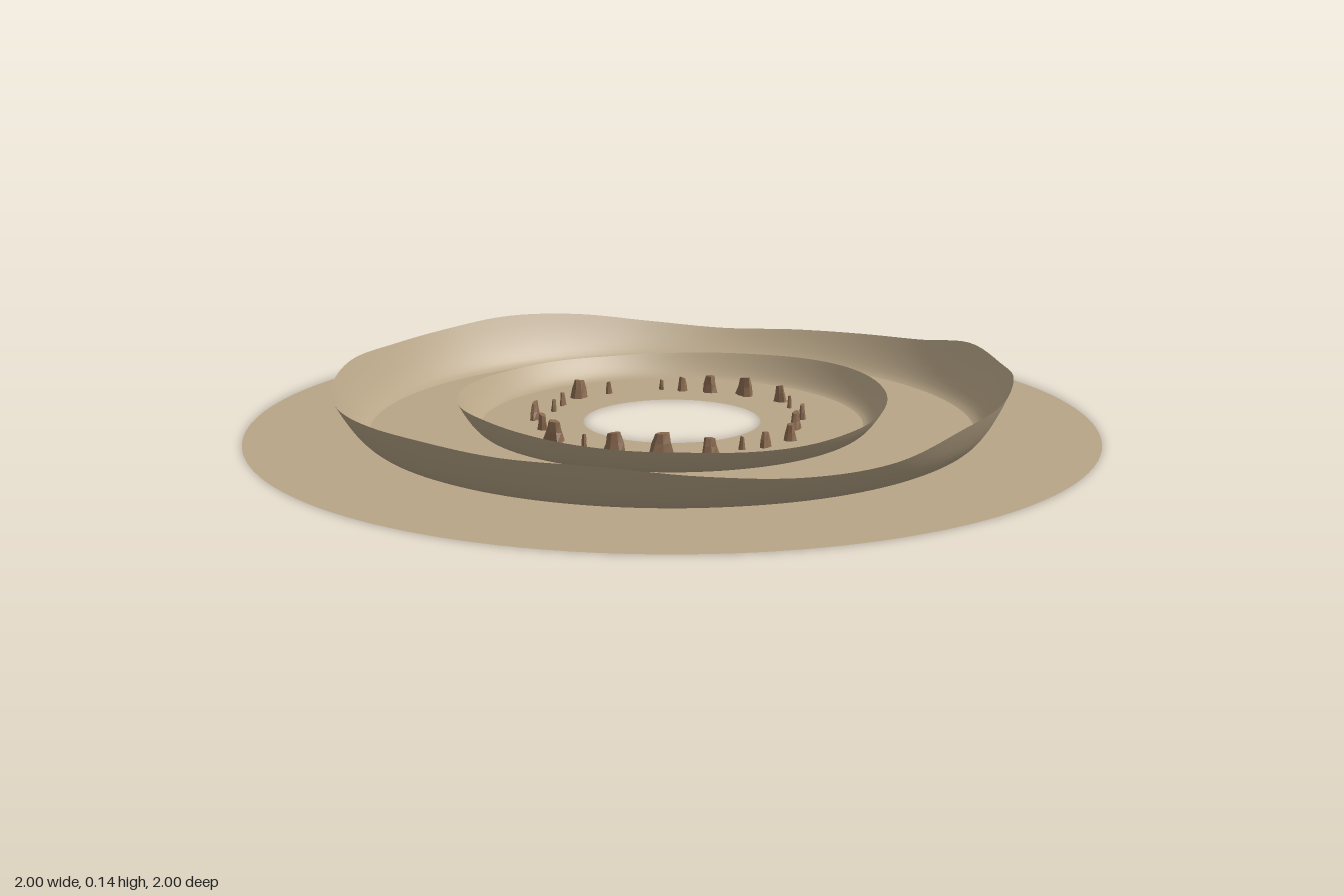
import * as THREE from 'three';
import { mergeVertices } from 'three/addons/utils/BufferGeometryUtils.js';

// Rim heights, every 15 degrees from +x towards +z
const OUTER_RIM = [.135, .12, .11, .078, .074, .088, .105, .105, .11, .105, .1, .108,
  .12, .115, .12, .13, .118, .09, .072, .08, .09, .105, .135, .125];
const INNER_RIM = [.066, .058, .054, .05, .052, .058, .06, .064, .07, .074, .07, .064,
  .062, .058, .056, .056, .054, .056, .06, .064, .07, .074, .074, .07];

// Rocks: x, z, length along the ring, width, height
const ROCKS = [
  [-.085, -.315, .014, .012, .025], [-.03, -.31, .026, .022, .035], [.043, -.31, .04, .034, .042],
  [.134, -.29, .056, .03, .045], [.23, -.24, .036, .026, .04], [.262, -.176, .014, .012, .03],
  [.305, -.07, .03, .018, .035], [.3, .027, .036, .026, .04], [.3, .134, .034, .028, .038],
  [.251, .203, .032, .022, .035], [.203, .235, .016, .014, .03], [.139, .289, .042, .026, .038],
  [.032, .294, .056, .036, .045], [-.075, .31, .056, .036, .045], [-.15, .278, .015, .013, .03],
  [-.23, .235, .062, .036, .046], [-.283, .139, .034, .024, .036], [-.326, .043, .054, .022, .04],
  [-.3, -.037, .018, .013, .03], [-.294, -.102, .026, .014, .032], [-.273, -.193, .052, .036, .044],
  [-.209, -.246, .018, .012, .03],
];

// Closed smooth interpolation of evenly spaced heights
function heightAt(list, angle) {
  const n = list.length;
  const f = ((angle / (Math.PI * 2)) * n + n) % n;
  const i = Math.floor(f), t = f - i;
  const [a, b, c, d] = [-1, 0, 1, 2].map((k) => list[(i + k + n) % n]);
  return b + 0.5 * t * (c - a + t * (2 * a - 5 * b + 4 * c - d + t * (3 * (b - c) + d - a)));
}

// Thin flared wall whose rim rises and falls around the circle
function bankGeometry(rBottom, rTop, heights) {
  const profile = [];
  for (let i = 0; i <= 8; i++) {
    const s = i / 8;
    profile.push(new THREE.Vector2(rBottom + (rTop - rBottom) * s, Math.pow(s, 1.55)));
  }
  let geo = new THREE.LatheGeometry(profile, 144);
  const p = geo.attributes.position;
  for (let i = 0; i < p.count; i++) {
    p.setY(i, p.getY(i) * heightAt(heights, Math.atan2(p.getZ(i), p.getX(i))));
  }
  geo.deleteAttribute('uv');
  geo.deleteAttribute('normal');
  geo = mergeVertices(geo, 1e-5);
  geo.computeVertexNormals();
  return geo;
}

// Tapered, slightly uneven stone
function rockGeometry(seed) {
  const geo = new THREE.CylinderGeometry(0.28, 0.5, 1, 7, 2);
  geo.translate(0, 0.5, 0);
  const p = geo.attributes.position;
  for (let i = 0; i < p.count; i++) {
    const x = p.getX(i), y = p.getY(i), z = p.getZ(i);
    const k = 1 + 0.13 * Math.sin(seed * 2.3 + Math.round(Math.atan2(z, x) * 10) * 0.37 + y * 3);
    p.setXYZ(i, x * k, y * (1 + 0.25 * x * Math.sin(seed)), z * k);
  }
  geo.computeVertexNormals();
  return geo;
}

export function createModel() {
  const model = new THREE.Group();
  model.name = 'terracedRing';

  const sand = new THREE.MeshStandardMaterial({ color: 0xb8a587, side: THREE.DoubleSide });
  sand.name = 'sand';
  const stone = new THREE.MeshStandardMaterial({ color: 0x8b6b50, flatShading: true });
  stone.name = 'brownStone';

  const add = (name, geo, mat, parent = model) => {
    const mesh = new THREE.Mesh(geo, mat);
    mesh.name = name;
    parent.add(mesh);
    return mesh;
  };

  // Flat ground with a round opening
  const ground = new THREE.RingGeometry(0.212, 1, 128, 1);
  ground.rotateX(-Math.PI / 2);
  add('ground', ground, sand);

  // Two flared banks
  add('outerBank', bankGeometry(0.715, 0.797, OUTER_RIM), sand);
  add('innerBank', bankGeometry(0.455, 0.51, INNER_RIM), sand);

  // Ring of stones around the opening
  const rocks = new THREE.Group();
  rocks.name = 'rocks';
  model.add(rocks);
  ROCKS.forEach(([x, z, length, width, height], i) => {
    const rock = add('rock', rockGeometry(i + 1), stone, rocks);
    rock.position.set(x, 0, z);
    rock.rotation.y = Math.atan2(x, z) + 0.25 * Math.sin(i * 1.7);
    rock.scale.set(length, height, width);
  });

  return model;
}
